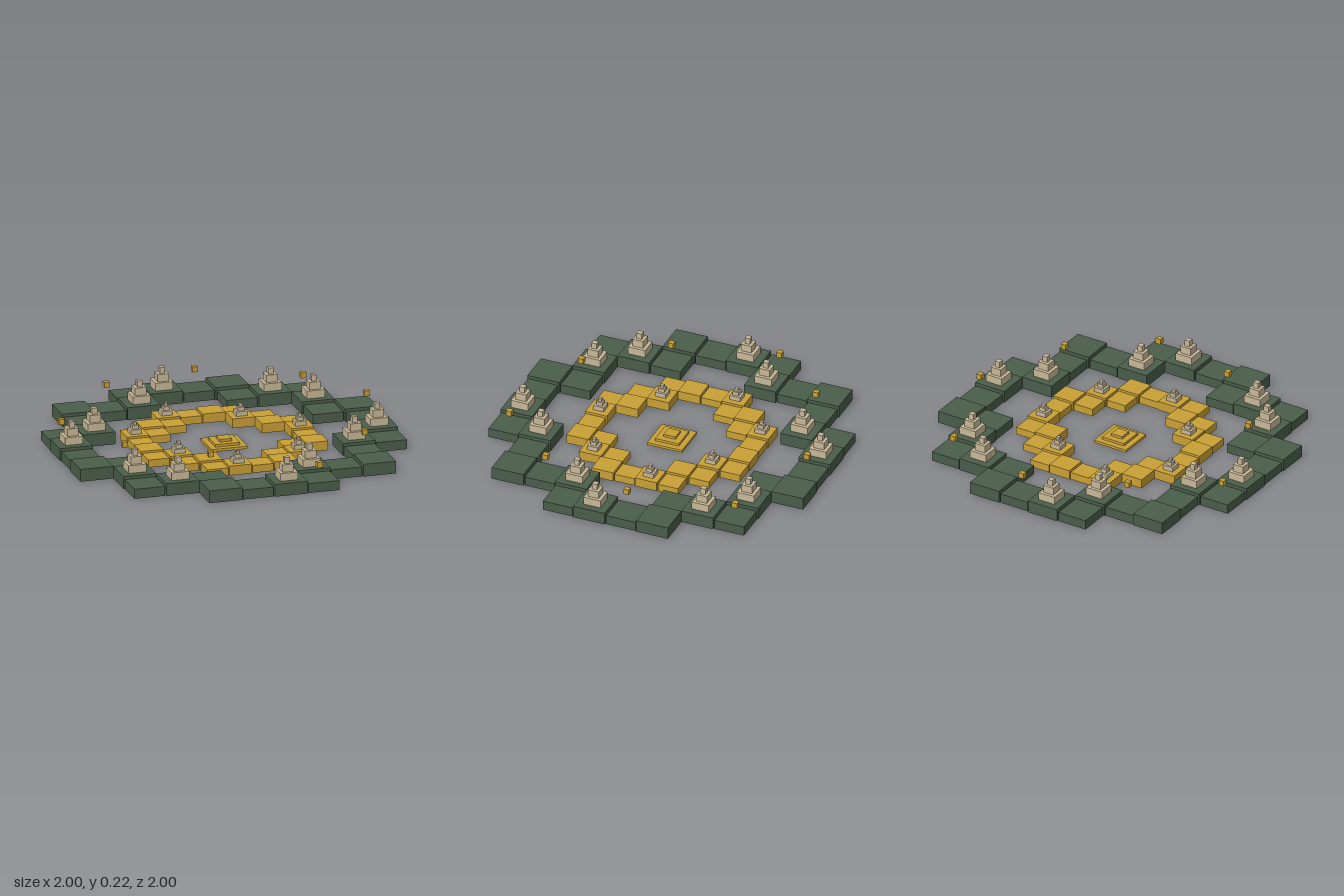
import * as THREE from 'three';

const mat = (name, color) => {
  const m = new THREE.MeshStandardMaterial({ color });
  m.name = name;
  return m;
};

export function createModel() {
  const model = new THREE.Group();
  model.name = 'steppedRings';
  const green = mat('mossGreen', 0x4a5d4a);
  const gold = mat('gold', 0xc9a035);
  const sand = mat('sandstone', 0xc8b898);

  // Square block standing on height y
  function block(parent, name, material, size, height, x, y, z) {
    const mesh = new THREE.Mesh(new THREE.BoxGeometry(size, height, size), material);
    mesh.name = name;
    mesh.position.set(x, y + height / 2, z);
    parent.add(mesh);
  }

  // Stack of shrinking tiers, each given as [size, height]
  function stack(name, material, tiers, x, y, z) {
    const group = new THREE.Group();
    group.name = name;
    group.position.set(x, y, z);
    let level = 0;
    tiers.forEach(([size, height], i) => {
      block(group, 'tier' + (i + 1), material, size, height, 0, level, 0);
      level += height;
    });
    model.add(group);
  }

  // Ring of tiles on an n by n grid; every second tile is smaller and lower.
  // Each row lists the columns of its left half; the rest is mirrored.
  function ring(name, material, rows, pitch, smallSize, tall, low) {
    const group = new THREE.Group();
    group.name = name;
    const n = rows.length * 2;
    const at = (i) => (i - (n - 1) / 2) * pitch;
    rows.forEach((cols, r) => {
      for (const c of cols) for (const i of [c, n - 1 - c]) for (const j of [r, n - 1 - r]) {
        const big = (i + j) % 2 === 0;
        block(group, 'tile', material, big ? pitch : smallSize, big ? tall : low, at(i), 0, at(j));
      }
    });
    model.add(group);
  }

  ring('outerRing', green, [[3, 4], [1, 2, 3], [1], [0, 1], [0]], 0.2, 0.187, 0.075, 0.058);
  ring('innerRing', gold, [[2, 3], [1, 2], [0, 1], [0]], 0.1375, 0.127, 0.057, 0.046);

  // Large pyramids on the outer ring
  const large = [[0.108, 0.047], [0.068, 0.045], [0.032, 0.037]];
  for (const [x, z] of [[-0.1, -0.9], [-0.3, -0.7], [0.5, -0.7], [0.7, -0.5], [-0.7, -0.3], [-0.9, -0.1],
    [0.9, 0.1], [0.7, 0.3], [-0.7, 0.5], [-0.5, 0.7], [0.3, 0.7], [0.1, 0.9]]) {
    stack('largePyramid', sand, large, x, 0.075, z);
  }

  // Small pyramids on the inner ring, by grid cell
  const small = [[0.066, 0.027], [0.038, 0.023], [0.02, 0.018]];
  for (const [i, j] of [[2, 0], [5, 1], [0, 2], [7, 3], [1, 5], [6, 6], [3, 7]]) {
    stack('smallPyramid', sand, small, (i - 3.5) * 0.1375, 0.057, (j - 3.5) * 0.1375);
  }

  // Floating cubes at three repeating heights around the outer ring
  [[0.1, -0.9], [0.7, -0.7], [0.9, -0.1], [0.7, 0.5], [0.3, 0.9], [-0.3, 0.7], [-0.7, 0.3], [-0.9, -0.3],
    [-0.5, -0.7]].forEach(([x, z], i) => {
    block(model, 'floatingCube', gold, 0.033, 0.033, x, [0.154, 0.121, 0.182][i % 3], z);
  });

  // Low stepped platform in the middle
  stack('centrePlatform', gold, [[0.22, 0.016], [0.15, 0.016], [0.075, 0.016]], 0, 0, 0);

  return model;
}
